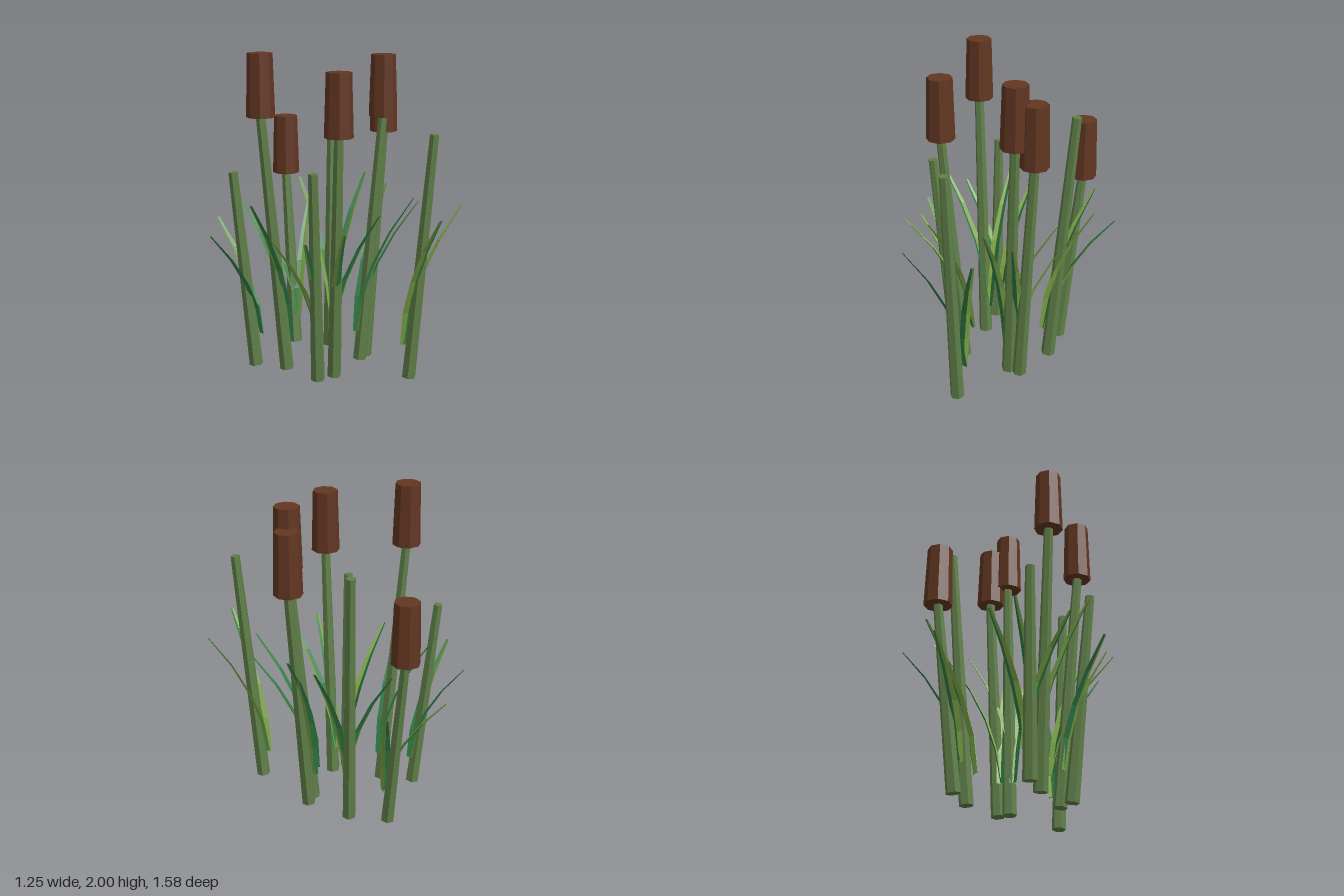
import * as THREE from 'three';

const paint = (color) => new THREE.MeshStandardMaterial({ color, flatShading: true, side: THREE.DoubleSide });

// Each plant: stem foot [x, z], stem top [x, y, z], whether it carries a seed head,
// the point its leaves spring from [x, z], and the two leaf tips.
const PLANTS = [
  { foot: [-0.21, -0.175], top: [-0.34, 1.62, -0.245], head: true, root: [-0.18, -0.18], tips: [[-0.55, 1.13, -0.12], [-0.3, 1.08, -0.5]] },
  { foot: [-0.095, 0.13], top: [-0.17, 1.53, 0.235], head: true, root: [-0.07, 0.09], tips: [[-0.31, 1.0, 0.41], [-0.055, 1.08, 0.46]] },
  { foot: [0.17, -0.48], top: [0.22, 1.15, -0.61], head: true, root: [0.165, -0.45], tips: [[0.47, 0.9, -0.65], [0.045, 0.865, -0.79]] },
  { foot: [0.23, 0.05], top: [0.34, 1.59, 0.13], head: true, root: [0.2, 0.05], tips: [[0.55, 1.11, -0.015], [0.35, 1.11, 0.385]] },
  { foot: [0.305, 0.03], top: [0.43, 1.48, 0.06], head: true, root: [0.27, 0.01], tips: [[0.6, 1.05, -0.135], [0.5, 1.05, 0.3]] },
  { foot: [-0.3, -0.365], top: [-0.38, 1.26, -0.46], head: false, root: [-0.26, -0.37], tips: [[-0.63, 0.91, -0.4], [-0.3, 0.92, -0.71]] },
  { foot: [-0.21, 0.1], top: [-0.32, 1.33, 0.17], head: false, root: [-0.18, 0.07], tips: [[-0.42, 0.93, 0.2], [-0.54, 0.95, 0.03]] },
  { foot: [0.21, 0.48], top: [0.26, 1.54, 0.6], head: false, root: [0.22, 0.43], tips: [[0.1, 1.08, 0.79], [0.515, 1.08, 0.63]] },
  { foot: [0.28, -0.265], top: [0.385, 1.66, -0.345], head: false, root: [0.26, -0.23], tips: [[0.62, 1.14, -0.26], [0.335, 1.1, -0.6]] },
];

// Tapered six-sided rod from a to b
function makeStem(a, b, material) {
  const dir = b.clone().sub(a);
  const stem = new THREE.Mesh(new THREE.CylinderGeometry(0.029, 0.044, dir.length(), 6), material);
  stem.position.copy(a).add(b).multiplyScalar(0.5);
  stem.quaternion.setFromUnitVectors(new THREE.Vector3(0, 1, 0), dir.normalize());
  stem.name = 'stem';
  return stem;
}

// One half of a folded blade: a strip from the midrib to the edge on the given side
function makeLeafHalf(root, tip, side, material) {
  const widths = [0.022, 0.03, 0.028, 0.021, 0.01];
  const out = new THREE.Vector3(tip.x - root.x, 0, tip.z - root.z);
  const across = new THREE.Vector3(-out.z, 0, out.x).normalize();
  const fold = out.clone().normalize();
  const positions = [];
  const index = [];
  widths.forEach((w, i) => {
    const t = i / (widths.length - 1);
    const mid = root.clone().addScaledVector(out, 0.25 * t + 0.75 * t * t);
    mid.y = THREE.MathUtils.lerp(root.y, tip.y, t);
    const edge = mid.clone().addScaledVector(across, side * w).addScaledVector(fold, -w * 0.5);
    positions.push(...mid.toArray(), ...edge.toArray());
    if (i > 0) {
      const k = 2 * i;
      if (side > 0) index.push(k - 2, k, k - 1, k - 1, k, k + 1);
      else index.push(k - 2, k - 1, k, k - 1, k + 1, k);
    }
  });
  const geometry = new THREE.BufferGeometry();
  geometry.setAttribute('position', new THREE.Float32BufferAttribute(positions, 3));
  geometry.setIndex(index);
  geometry.computeVertexNormals();
  const half = new THREE.Mesh(geometry, material);
  half.name = 'leafHalf';
  return half;
}

export function createModel() {
  const stemGreen = paint(0x5f7f48);
  const headBrown = paint(0x623621);
  const lightGreen = paint(0x7fa846);
  const deepGreen = paint(0x2f7d45);
  const headGeometry = new THREE.CylinderGeometry(0.076, 0.087, 0.38, 8);

  const model = new THREE.Group();
  model.name = 'reeds';
  for (const { foot, top, head, root, tips } of PLANTS) {
    const plant = new THREE.Group();
    plant.name = 'reed';
    const end = new THREE.Vector3(...top);
    plant.add(makeStem(new THREE.Vector3(foot[0], 0.004, foot[1]), end, stemGreen));

    // Upright seed head
    if (head) {
      const seedHead = new THREE.Mesh(headGeometry, headBrown);
      seedHead.position.set(end.x, end.y + 0.19, end.z);
      seedHead.name = 'seedHead';
      plant.add(seedHead);
    }

    // Pair of mirrored two-tone leaves
    tips.forEach((t, i) => {
      const leaf = new THREE.Group();
      leaf.name = 'leaf';
      const base = new THREE.Vector3(root[0], 0.2, root[1]);
      const tip = new THREE.Vector3(...t);
      const lightSide = i === 0 ? 1 : -1;
      leaf.add(makeLeafHalf(base, tip, lightSide, lightGreen));
      leaf.add(makeLeafHalf(base, tip, -lightSide, deepGreen));
      plant.add(leaf);
    });
    model.add(plant);
  }
  return model;
}
